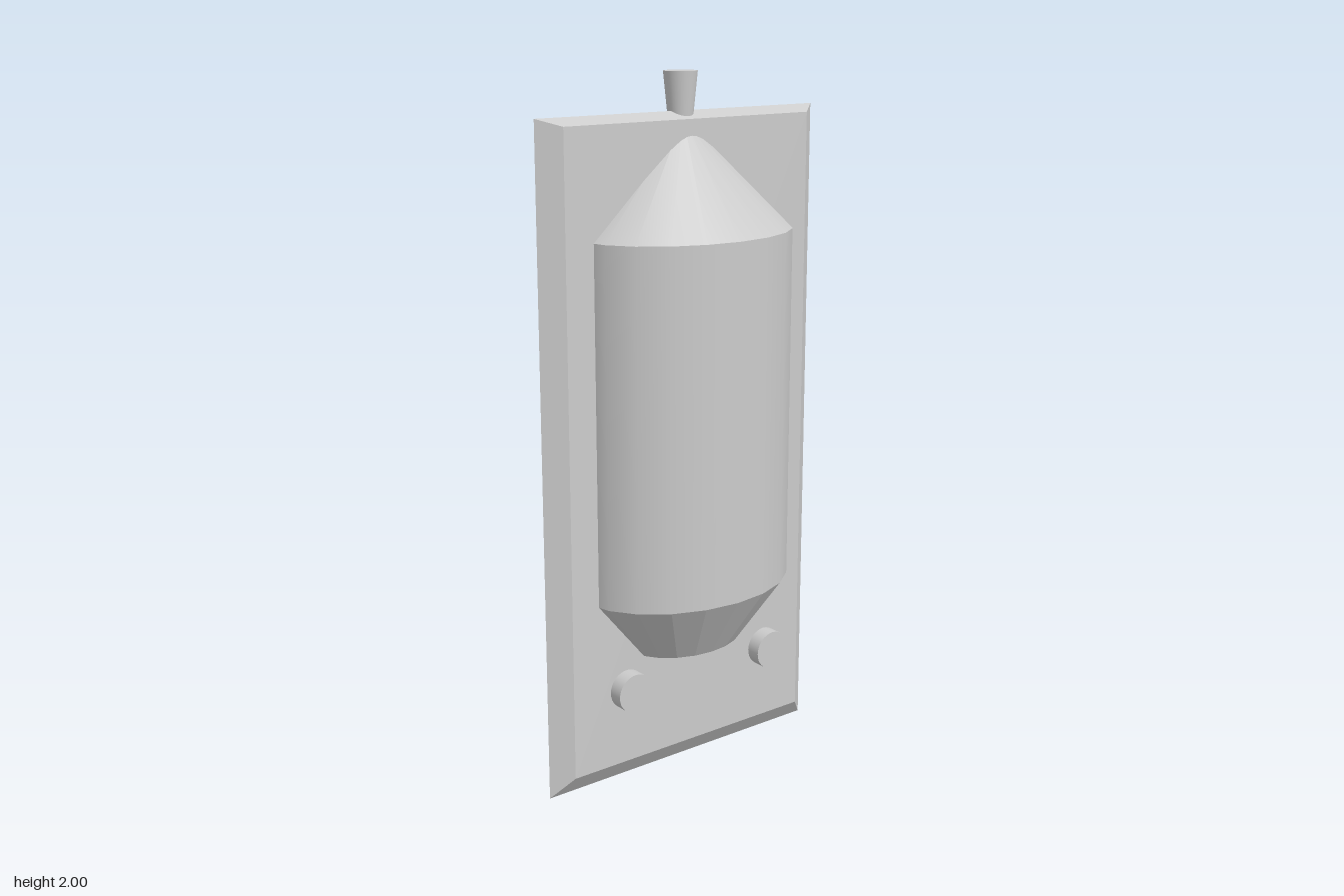
import * as THREE from 'three';

const material = new THREE.MeshStandardMaterial({ color: 0xcccccc });
const flatMaterial = new THREE.MeshStandardMaterial({ color: 0xcccccc, flatShading: true });

export function createModel() {
  const model = new THREE.Group();
  const add = (name, geometry, mat, x, y, z) => {
    const mesh = new THREE.Mesh(geometry, mat);
    mesh.name = name;
    mesh.position.set(x, y, z);
    model.add(mesh);
    return mesh;
  };

  // Upright plate: a slab whose middle loop is pushed out into a knife edge
  const plate = new THREE.BoxGeometry(2, 2, 2, 2, 1, 1);
  const p = plate.attributes.position;
  for (let i = 0; i < p.count; i++) {
    const side = Math.round(p.getX(i));
    const top = p.getY(i) > 0, front = p.getZ(i) > 0;
    if (side === 0) p.setXYZ(i, -0.003, top ? 1.895 : 0, front ? 0.47 : -0.47);
    else p.setXYZ(i, side > 0 ? 0.04 : -0.045, top ? 1.875 : 0.06, front ? 0.41 : -0.418);
  }
  const plateGeometry = plate.toNonIndexed();
  plateGeometry.computeVertexNormals();
  add('plate', plateGeometry, flatMaterial, 0, 0, 0);

  // Oval body, stacked from tapered sections: [name, top radius, bottom radius, top y, bottom y, material]
  const sections = [
    ['bodyRoof', 0, 1, 1.88, 1.57, material],
    ['bodyWall', 1, 1, 1.57, 0.555, material],
    ['bodyTaper', 1, 0.54, 0.555, 0.37, flatMaterial],
    ['bodyTip', 0.54, 0, 0.37, 0.312, flatMaterial],
  ];
  for (const [name, rTop, rBottom, yTop, yBottom, mat] of sections) {
    const geometry = new THREE.CylinderGeometry(rTop, rBottom, yTop - yBottom, 20, 1, true);
    geometry.scale(0.25, 1, 0.335); // keeps normals correct on the oval
    add(name, geometry, mat, 0, (yTop + yBottom) / 2, -0.005);
  }

  // Two pegs through the lower plate
  for (const [name, z] of [['frontPeg', 0.228], ['backPeg', -0.281]]) {
    const peg = new THREE.CylinderGeometry(0.057, 0.057, 0.172, 32);
    peg.rotateZ(Math.PI / 2);
    add(name, peg, material, -0.002, 0.286, z);
  }

  // Flared knob on the top edge
  add('topKnob', new THREE.CylinderGeometry(0.047, 0.034, 0.13, 32), material, -0.009, 1.935, -0.003);

  return model;
}
